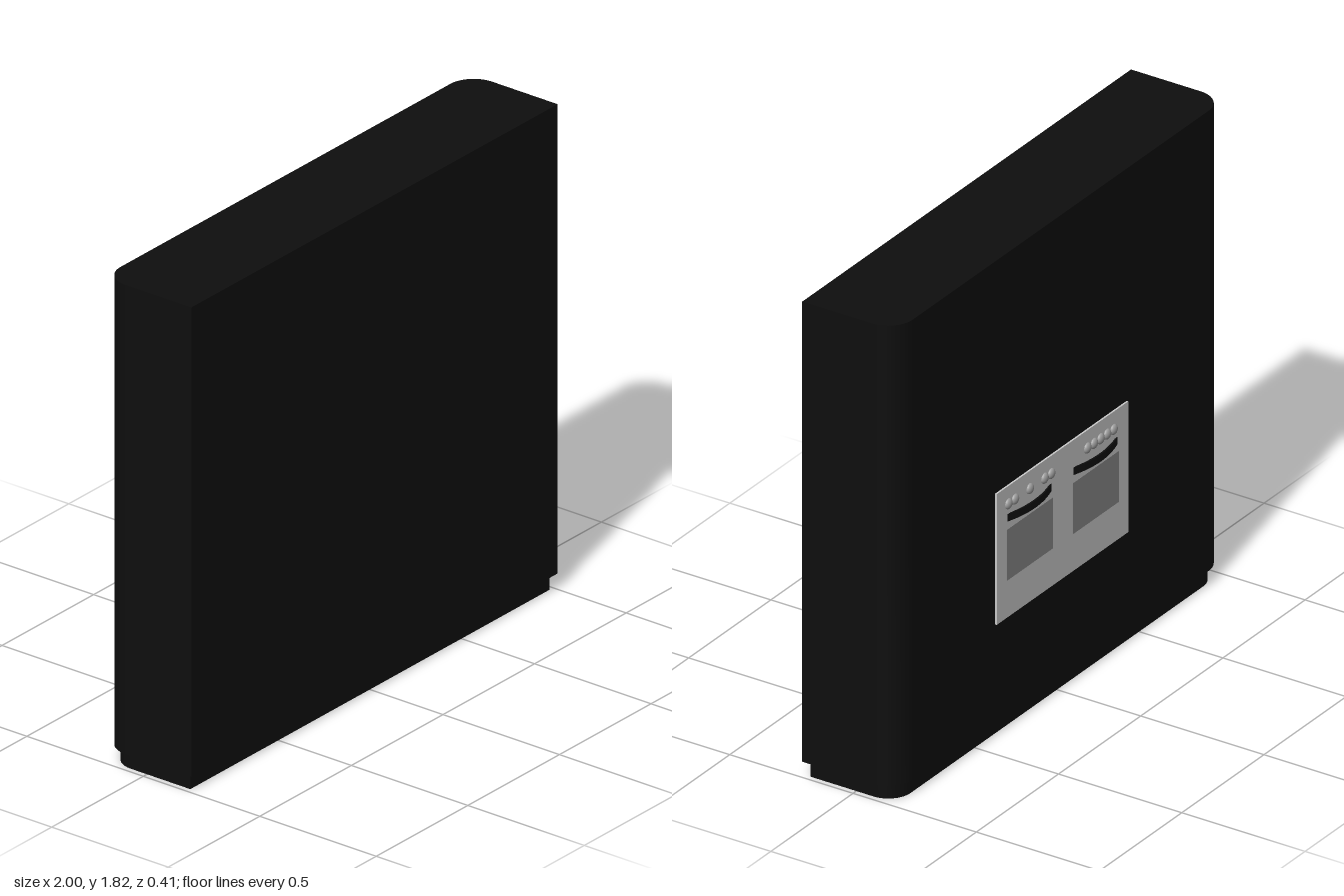
import * as THREE from 'three';
import { toCreasedNormals } from 'three/addons/utils/BufferGeometryUtils.js';

const mat = (name, color) => {
  const m = new THREE.MeshStandardMaterial({ color });
  m.name = name;
  return m;
};

export function createModel() {
  const black = mat('black', 0x0e0e0e);
  const steel = mat('steel', 0xc8c8c8);
  const glass = mat('greyGlass', 0x888888);
  const chrome = mat('knobGrey', 0xa0a0a0);

  const model = new THREE.Group();
  model.name = 'ovenWall';

  const add = (parent, name, geometry, material, x = 0, y = 0, z = 0) => {
    const mesh = new THREE.Mesh(geometry, material);
    mesh.name = name;
    mesh.position.set(x, y, z);
    parent.add(mesh);
    return mesh;
  };

  // Upright slab: square corners at the front (+z), rounded ones at the back
  const slab = (halfWidth, back, front, radius, height) => {
    const s = new THREE.Shape();
    s.moveTo(-halfWidth, -front);
    s.lineTo(halfWidth, -front);
    s.lineTo(halfWidth, -back - radius);
    s.absarc(halfWidth - radius, -back - radius, radius, 0, Math.PI / 2, false);
    s.lineTo(-halfWidth + radius, -back);
    s.absarc(-halfWidth + radius, -back - radius, radius, Math.PI / 2, Math.PI, false);
    s.closePath();
    const g = new THREE.ExtrudeGeometry(s, { depth: height, bevelEnabled: false, curveSegments: 12 });
    g.rotateX(-Math.PI / 2);
    return toCreasedNormals(g, 0.5);
  };

  const BACK = -0.176;
  const FACE = -0.183;
  add(model, 'plinth', slab(0.98, -0.16, 0.186, 0.09, 0.06), black);
  add(model, 'body', slab(1, BACK, 0.206, 0.1, 1.76), black, 0, 0.06, 0);

  // Double oven on the back
  add(model, 'ovenPanel', new THREE.BoxGeometry(0.8, 0.5, 0.008), steel, 0, 0.682, FACE + 0.004);

  // Bowed handle: a thin curved strip whose ends meet the panel
  const bow = new THREE.Shape();
  bow.moveTo(-0.14, 0.181);
  bow.quadraticCurveTo(0, 0.231, 0.14, 0.181);
  bow.lineTo(0.125, 0.181);
  bow.quadraticCurveTo(0, 0.217, -0.125, 0.181);
  bow.closePath();
  const handleGeo = new THREE.ExtrudeGeometry(bow, { depth: 0.028, bevelEnabled: false, curveSegments: 16 });
  handleGeo.rotateX(-Math.PI / 2);
  const handle = toCreasedNormals(handleGeo, 0.5);

  const windowGeo = new THREE.BoxGeometry(0.28, 0.195, 0.003);
  const knobGeo = new THREE.SphereGeometry(0.02, 16, 10);
  knobGeo.scale(1, 1, 0.6);

  const ovens = [
    { name: 'leftOven', x: 0.2, knobs: [0.33, 0.29, 0.2, 0.11, 0.07] },
    { name: 'rightOven', x: -0.2, knobs: [-0.15, -0.19, -0.23, -0.27, -0.31] },
  ];
  for (const { name, x, knobs } of ovens) {
    const oven = new THREE.Group();
    oven.name = name;
    model.add(oven);
    add(oven, 'ovenWindow', windowGeo, glass, x, 0.672, FACE);
    add(oven, 'ovenHandle', handle, black, x, 0.798, 0);
    for (const kx of knobs) add(oven, 'knob', knobGeo, chrome, kx, 0.865, FACE);
  }
  return model;
}
